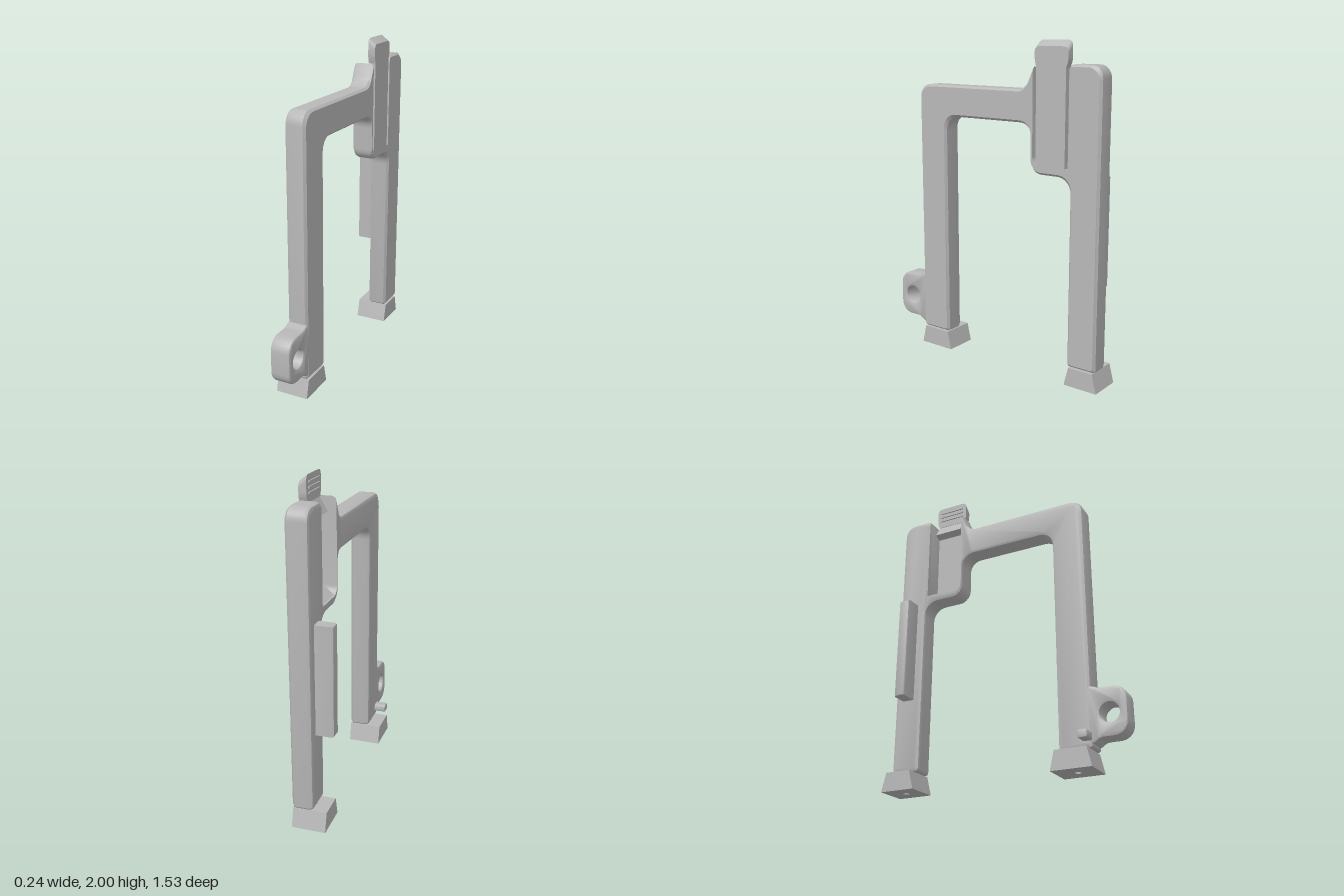
import * as THREE from 'three';
import { toCreasedNormals } from 'three/addons/utils/BufferGeometryUtils.js';

// Outlines are drawn in (u, v) = (-z, y), counter-clockwise.
// Each corner is [u, v, rounding, inset weight of the edge that starts here].
function roundCorners(pts) {
  const out = [];
  pts.forEach(([u, v, r = 0], i) => {
    const c = new THREE.Vector2(u, v);
    if (!r) { out.push(c); return; }
    const toward = (q, d) => c.clone().add(new THREE.Vector2(q[0] - u, q[1] - v).setLength(d));
    const prev = pts[(i + pts.length - 1) % pts.length];
    const next = pts[(i + 1) % pts.length];
    out.push(...new THREE.CubicBezierCurve(
      toward(prev, r), toward(prev, r * 0.45), toward(next, r * 0.45), toward(next, r)).getPoints(7));
  });
  return out;
}

// Moves every edge inward by d times its weight.
function insetCorners(pts, d) {
  const n = pts.length;
  const edges = pts.map((p, i) => {
    const q = pts[(i + 1) % n];
    const dir = new THREE.Vector2(q[0] - p[0], q[1] - p[1]).normalize();
    const k = d * (p[3] ?? 1);
    return { x: p[0] - dir.y * k, y: p[1] + dir.x * k, dir };
  });
  return pts.map((p, i) => {
    const a = edges[(i + n - 1) % n], b = edges[i];
    const t = ((b.x - a.x) * b.dir.y - (b.y - a.y) * b.dir.x) / a.dir.cross(b.dir);
    return [a.x + a.dir.x * t, a.y + a.dir.y * t, p[2]];
  });
}

// Solid through stacked outlines; layers are [x, inset].
function layeredSolid(pts, layers) {
  const rings = layers.map(([, d]) => roundCorners(insetCorners(pts, d)));
  const n = rings[0].length, pos = [], idx = [];
  rings.forEach((ring, k) => ring.forEach(p => pos.push(layers[k][0], p.y, -p.x)));
  for (let k = 0; k < rings.length - 1; k++) {
    for (let i = 0; i < n; i++) {
      const a = k * n + i, b = k * n + (i + 1) % n;
      idx.push(a, b, b + n, a, b + n, a + n);
    }
  }
  const last = (rings.length - 1) * n;
  for (const [a, b, c] of THREE.ShapeUtils.triangulateShape(rings.at(-1), [])) idx.push(last + a, last + b, last + c);
  for (const [a, b, c] of THREE.ShapeUtils.triangulateShape(rings[0], [])) idx.push(c, b, a);
  const g = new THREE.BufferGeometry();
  g.setAttribute('position', new THREE.Float32BufferAttribute(pos, 3));
  g.setIndex(idx);
  return toCreasedNormals(g, 0.6);
}

// Bevelled plate between x0 and x1 with an optional round hole.
function plate(pts, x0, x1, bevel, hole) {
  const shape = new THREE.Shape(roundCorners(pts));
  if (hole) shape.holes.push(new THREE.Path().absarc(hole[0], hole[1], hole[2], 0, Math.PI * 2, true));
  const g = new THREE.ExtrudeGeometry(shape, {
    depth: x1 - x0 - 2 * bevel, bevelEnabled: bevel > 0, bevelSize: bevel, bevelThickness: bevel,
    bevelOffset: -bevel, bevelSegments: 2, curveSegments: 24,
  });
  g.rotateY(Math.PI / 2).translate(x0 + bevel, 0, 0);
  return toCreasedNormals(g, 0.6);
}

// Prism with an (x, y) cross-section between z0 and z1.
function prism(section, z0, z1) {
  const shape = new THREE.Shape(section.map(p => new THREE.Vector2(...p)));
  return new THREE.ExtrudeGeometry(shape, { depth: z1 - z0, bevelEnabled: false }).translate(0, 0, z0);
}

const rect = (u0, u1, v0, v1, r = 0) => [[u0, v0, r], [u1, v0, r], [u1, v1, r], [u0, v1, r]];

// Foot block tapering along z, bored from below.
function footGeometry(halfBottom, halfTop) {
  const height = 0.115, w = 0.1025;
  const shape = new THREE.Shape([[-w, -1], [w, -1], [w, 1], [-w, 1]]
    .map(([x, y]) => new THREE.Vector2(x, y * halfBottom)));
  shape.holes.push(new THREE.Path().absarc(0, 0, 0.02, 0, Math.PI * 2, true));
  const g = new THREE.ExtrudeGeometry(shape, { depth: height, bevelEnabled: false, curveSegments: 16 });
  g.rotateX(-Math.PI / 2);
  const p = g.attributes.position;
  for (let i = 0; i < p.count; i++) {
    p.setZ(i, p.getZ(i) * THREE.MathUtils.lerp(1, halfTop / halfBottom, p.getY(i) / height));
  }
  return toCreasedNormals(g, 0.5);
}

export function createModel() {
  const model = new THREE.Group();
  model.name = 'latchFrame';
  const grey = new THREE.MeshStandardMaterial({ color: 0xb8b8b8 });
  grey.name = 'plain grey';
  const add = (name, geometry, parent = model) => {
    const mesh = new THREE.Mesh(geometry, grey);
    mesh.name = name;
    parent.add(mesh);
    return mesh;
  };

  // Two legs, crossbar and the open-topped latch pocket
  add('frame', layeredSolid([
    [-0.56, 0.12, 0.015], [-0.35, 0.12, 0.015],
    [-0.35, 1.53, 0.09], [0.29, 1.53, 0.08, 0.3],
    [0.29, 1.24, 0.07], [0.56, 1.24, 0.09],
    [0.56, 0.12, 0.015], [0.75, 0.12, 0.015],
    [0.75, 1.87, 0.07], [0.547, 1.87, 0.02, 0],
    [0.547, 1.29, 0, 0], [0.305, 1.29, 0.05, 0],
    [0.305, 1.85, 0, 0.5], [0.265, 1.76, 0.02], [0.225, 1.72, 0.03],
    [-0.56, 1.72, 0.08],
  ], [[-0.01, 0.022], [-0.003, 0.007], [0.015, 0], [0.105, 0], [0.12, 0.013]]));

  // Sloped pocket floor
  add('pocketFloor', prism([[0, 1.27], [0.08, 1.27], [0.08, 1.34], [0, 1.29]], -0.547, -0.305));

  // Spring latch: shaft, hook, slanted head and grip ridges
  const latch = new THREE.Group();
  latch.name = 'latch';
  model.add(latch);
  add('latchShaft', plate(rect(0.328, 0.526, 1.26, 1.9), 0.08, 0.12, 0), latch);
  add('latchHook', prism([[0.03, 1.77], [0.09, 1.75], [0.09, 1.86], [0.078, 1.85]], -0.526, -0.335), latch);
  const head = plate([
    [0.328, 1.85], [0.526, 1.85], [0.54, 1.89, 0.015], [0.54, 2, 0.03],
    [0.317, 2, 0.03], [0.317, 1.89, 0.015],
  ], 0.075, 0.12, 0);
  const p = head.attributes.position;
  for (let i = 0; i < p.count; i++) {
    if (p.getX(i) > 0.1 && p.getY(i) > 1.95) p.setY(i, p.getY(i) - 0.035);
  }
  add('latchHead', toCreasedNormals(head, 0.6), latch);
  for (const y of [1.9, 1.93, 1.96]) {
    add('gripRidge', new THREE.BoxGeometry(0.012, 0.01, 0.17), latch).position.set(0.073, y, -0.428);
  }

  // Eyelet lug on the front leg
  add('eyeletLug', plate([
    [-0.5, 0.14], [-0.5, 0.48], [-0.56, 0.48, 0.02], [-0.6, 0.46, 0.02],
    [-0.765, 0.46, 0.08], [-0.765, 0.17, 0.08], [-0.6, 0.17, 0.02], [-0.56, 0.14, 0.02],
  ], -0.009, 0.119, 0.016, [-0.66, 0.31, 0.056]));

  // Rail on the rear leg and peg on the front leg
  add('sideRail', plate(rect(0.617, 0.69, 0.58, 1.235), -0.12, 0.02, 0.014));
  add('sidePeg', plate(rect(-0.555, -0.495, 0.163, 0.212, 0.012), -0.085, 0.02, 0.008));

  // Feet
  add('frontFoot', footGeometry(0.122, 0.095)).position.set(0.0175, 0, 0.453);
  add('rearFoot', footGeometry(0.11, 0.08)).position.set(0.0175, 0, -0.655);
  return model;
}
